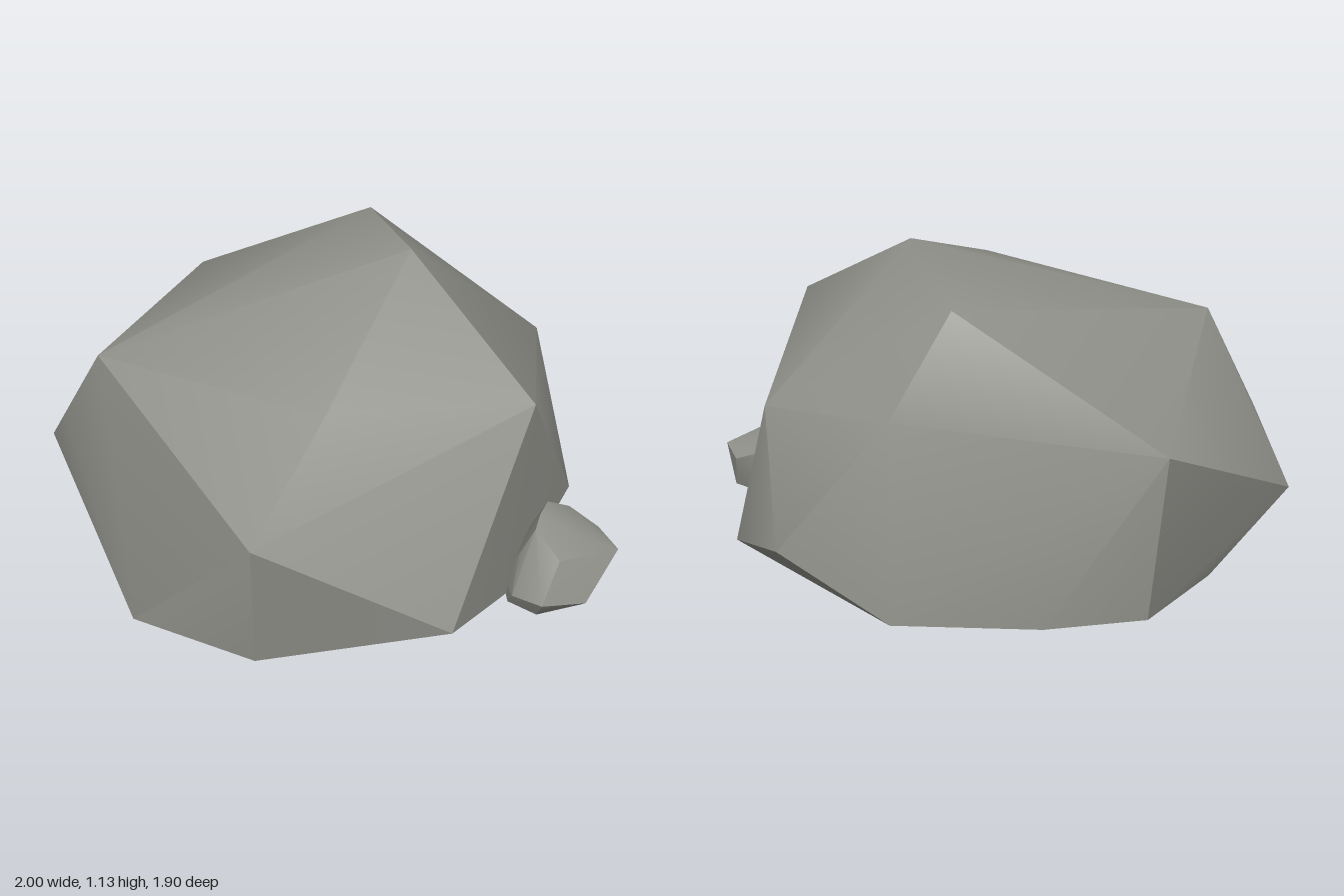
import * as THREE from 'three';
import { ConvexGeometry } from 'three/addons/geometries/ConvexGeometry.js';
import { toCreasedNormals } from 'three/addons/utils/BufferGeometryUtils.js';

// Convex stone through its corner points, left open underneath
function stoneGeometry(corners, crease) {
  const hull = new ConvexGeometry(corners.map((c) => new THREE.Vector3(...c)));
  const p = hull.attributes.position;
  const kept = [];
  for (let i = 0; i < p.count; i += 3) {
    if (Math.max(p.getY(i), p.getY(i + 1), p.getY(i + 2)) < 0.001) continue;
    for (let j = i; j < i + 3; j++) kept.push(p.getX(j), p.getY(j), p.getZ(j));
  }
  const geometry = new THREE.BufferGeometry();
  geometry.setAttribute('position', new THREE.Float32BufferAttribute(kept, 3));
  return toCreasedNormals(geometry, crease);
}

export function createModel() {
  const group = new THREE.Group();
  group.name = 'rocks';

  const stone = new THREE.MeshStandardMaterial({ color: 0x93938d, side: THREE.DoubleSide });
  stone.name = 'grey stone';

  const addStone = (name, corners, crease) => {
    const mesh = new THREE.Mesh(stoneGeometry(corners, crease), stone);
    mesh.name = name;
    group.add(mesh);
  };

  addStone('boulder', [
    // crown
    [0.32, 1.13, 0.03], [0.30, 1.03, -0.51], [-0.81, 0.79, -0.03],
    [-0.12, 0.88, 0.64], [0.62, 0.80, 0.60],
    // flanks
    [-0.31, 0.62, -0.95], [-1.0, 0.20, -0.43], [-0.95, 0.44, -0.19],
    [-0.42, 0.57, 0.90], [0.26, 0.14, 0.95], [0.89, 0.62, -0.16],
    [0.92, 0.25, -0.55], [0.55, 0.72, -0.66],
    // foot
    [1.0, 0, 0.07], [0.57, 0, -0.70], [0.08, 0, -0.86], [-0.28, 0, -0.89],
    [-0.60, 0, -0.65], [-0.79, 0, 0.50], [-0.40, 0, 0.80], [0.57, 0, 0.63],
  ], 0.65);

  addStone('smallStone', [
    // top
    [0.66, 0.26, 0.61], [0.70, 0.27, 0.54], [0.77, 0.24, 0.58],
    [0.76, 0.25, 0.45], [0.71, 0.21, 0.74],
    // sides
    [0.62, 0.10, 0.84], [0.97, 0.15, 0.65], [0.81, 0.03, 0.78],
    [0.86, 0.19, 0.42], [0.95, 0.14, 0.50], [0.79, 0.18, 0.39],
    [0.60, 0.16, 0.62], [0.55, 0.06, 0.72],
    // foot
    [0.80, 0, 0.39], [0.95, 0, 0.57], [0.80, 0, 0.73],
    [0.63, 0, 0.77], [0.55, 0, 0.68], [0.58, 0, 0.50],
  ], 0.5);

  return group;
}
